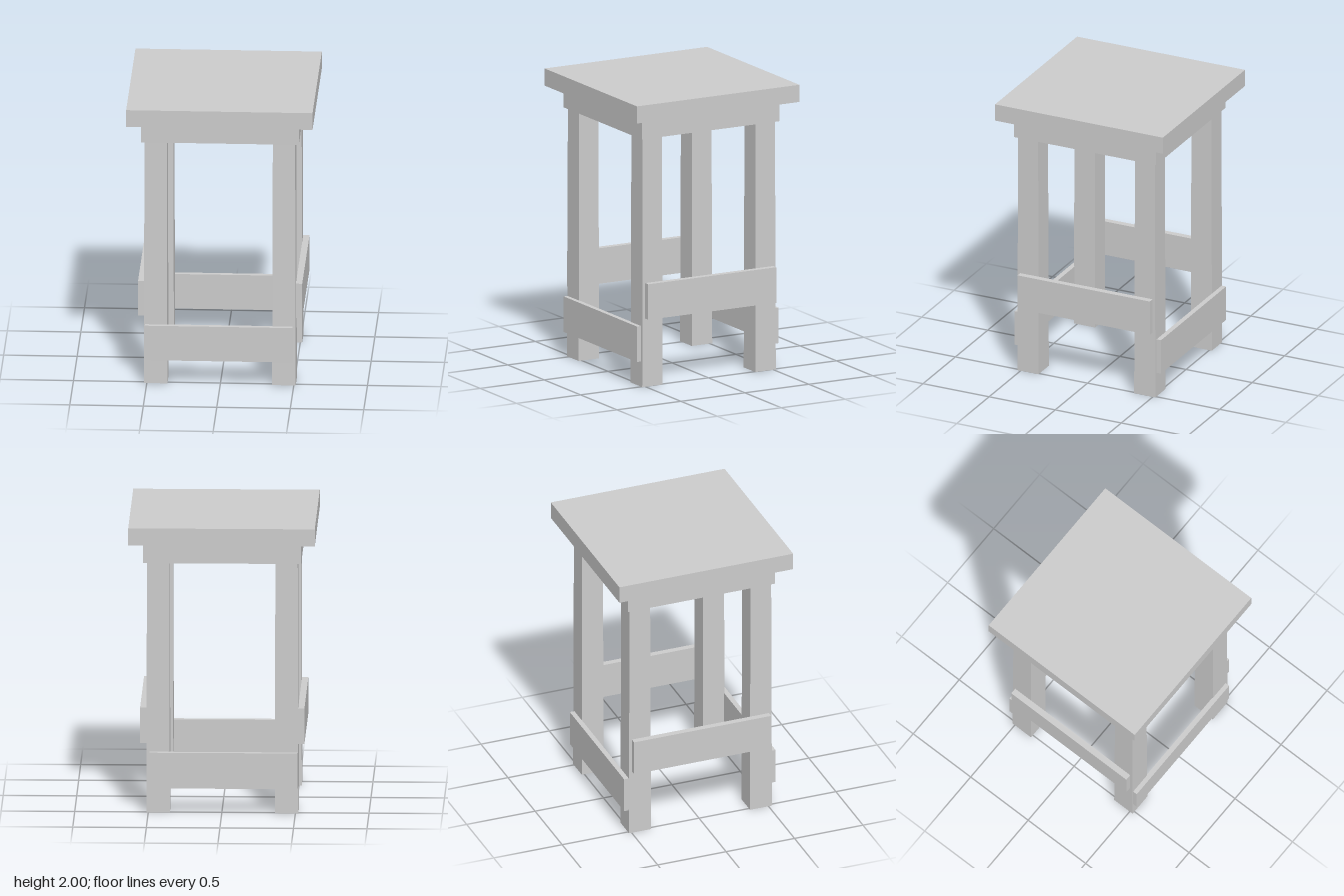
import * as THREE from 'three';

export function createModel() {
  const stool = new THREE.Group();
  stool.name = 'stool';
  const wood = new THREE.MeshStandardMaterial({ color: 0xcccccc, flatShading: true });
  const hollow = new THREE.MeshStandardMaterial({ color: 0xcccccc, flatShading: true, side: THREE.DoubleSide });

  // Box given by its minimum and maximum corners
  function slab(name, min, max) {
    const size = max.map((v, i) => v - min[i]);
    const mesh = new THREE.Mesh(new THREE.BoxGeometry(...size), wood);
    mesh.position.set(...max.map((v, i) => (v + min[i]) / 2));
    mesh.name = name;
    stool.add(mesh);
  }

  // Square seat with a smaller block below it
  slab('seat', [-0.635, 1.88, -0.635], [0.633, 2, 0.635]);
  slab('apron', [-0.54, 1.737, -0.535], [0.535, 1.88, 0.54]);

  // Slightly tapered square legs, open at the ends
  const legHeight = 1.737;
  const legGeometry = new THREE.CylinderGeometry(0.152 / Math.SQRT2, 0.16 / Math.SQRT2, legHeight, 4, 1, true);
  legGeometry.rotateY(Math.PI / 4);
  for (const [xName, x] of [['Right', -0.44], ['Left', 0.433]]) {
    for (const [zName, z] of [['front', 0.445], ['back', -0.439]]) {
      const leg = new THREE.Mesh(legGeometry, hollow);
      leg.position.set(x, legHeight / 2, z);
      leg.name = `${zName}${xName}Leg`;
      stool.add(leg);
    }
  }

  // Low rails at front and back, high rails at the sides
  slab('frontRail', [-0.513, 0.175, 0.52], [0.492, 0.423, 0.555]);
  slab('backRail', [-0.513, 0.175, -0.552], [0.492, 0.423, -0.517]);
  slab('leftRail', [0.513, 0.477, -0.498], [0.556, 0.725, 0.503]);
  slab('rightRail', [-0.561, 0.477, -0.498], [-0.518, 0.725, 0.503]);

  return stool;
}
